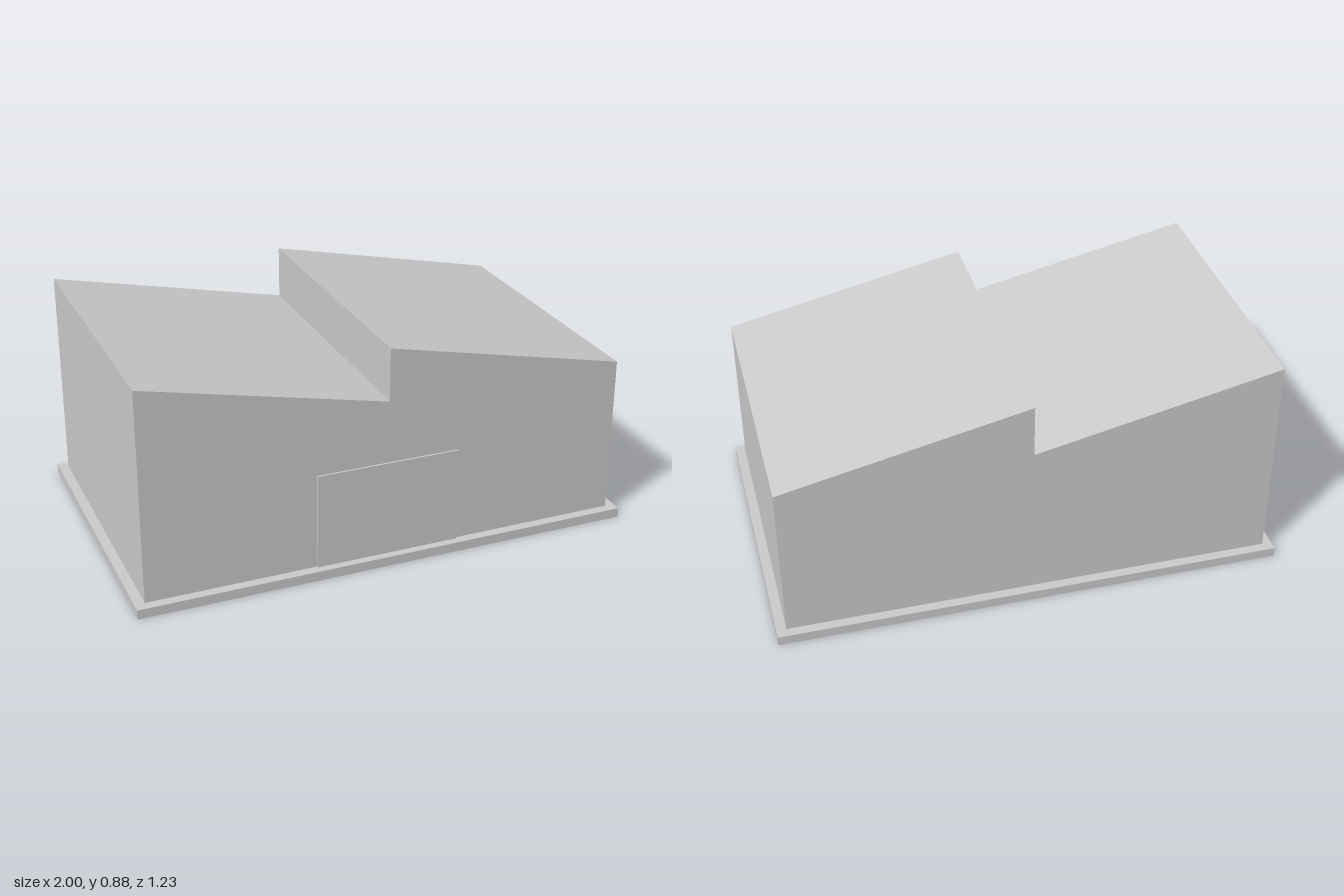
import * as THREE from 'three';

const U = 1 / 26; // building module

export function createModel() {
  const group = new THREE.Group();
  const grey = new THREE.MeshStandardMaterial({ color: 0xcccccc, side: THREE.DoubleSide });
  grey.name = 'light grey';

  const add = (name, geometry, y, z = 0) => {
    const mesh = new THREE.Mesh(geometry, grey);
    mesh.name = name;
    mesh.position.set(0, y, z);
    group.add(mesh);
  };

  // Base slab: a hollow tray, open underneath (the box's bottom face is dropped)
  const slab = new THREE.BoxGeometry(52 * U, U, 32 * U);
  const faces = Array.from(slab.index.array);
  faces.splice(18, 6);
  slab.setIndex(faces);
  slab.clearGroups();
  add('baseSlab', slab, U / 2);

  // Hall with a two-bay sawtooth roof, extruded front to back
  const low = 17.5 * U, high = 23 * U, half = 25 * U;
  const profile = new THREE.Shape([
    [-half, U], [half, U], [half, low], [0, high], [0, low], [-half, high],
  ].map(([x, y]) => new THREE.Vector2(x, y)));
  const hall = new THREE.ExtrudeGeometry(profile, { depth: 30 * U, bevelEnabled: false });
  add('sawtoothHall', hall, 0, -15 * U);

  // Wide door panel on the front wall
  const thickness = 0.2 * U;
  add('frontDoor', new THREE.BoxGeometry(15 * U, 10 * U, thickness), 6 * U, 15 * U + thickness / 2);

  return group;
}
